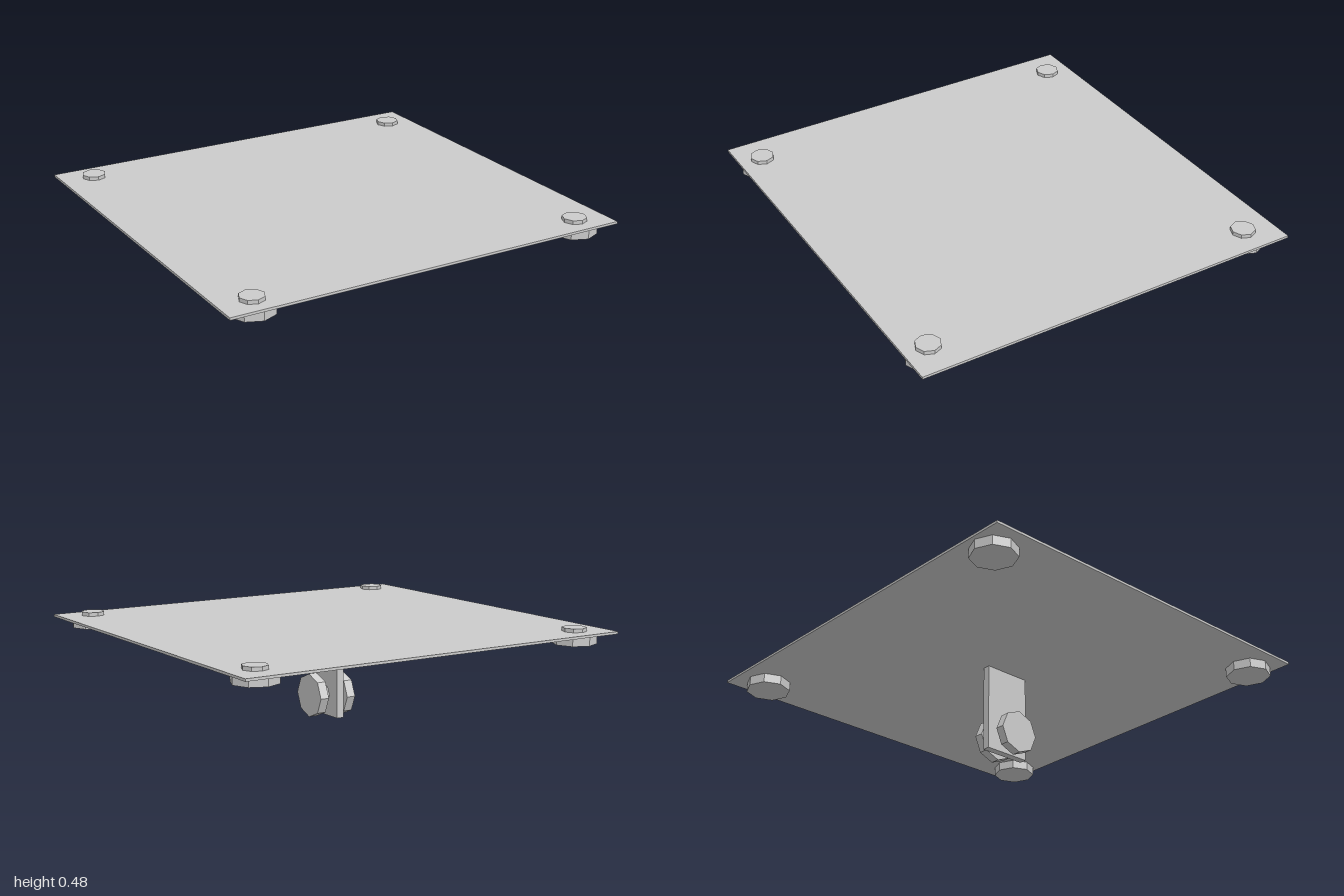
import * as THREE from 'three';

const grey = new THREE.MeshStandardMaterial({ color: 0xcccccc, flatShading: true });

function part(name, geometry, x, y, z, parent) {
  const mesh = new THREE.Mesh(geometry, grey);
  mesh.name = name;
  mesh.position.set(x, y, z);
  parent.add(mesh);
  return mesh;
}

// Eight-sided disc between two heights
function disc(radius, height) {
  return new THREE.CylinderGeometry(radius, radius, height, 8);
}

export function createModel() {
  const model = new THREE.Group();

  // Thin top plate whose underside sags slightly towards the middle
  const plate = new THREE.BoxGeometry(2, 0.012, 1.9, 6, 1, 6);
  const p = plate.attributes.position;
  for (let i = 0; i < p.count; i++) {
    if (p.getY(i) > 0) continue;
    const edge = Math.max(Math.abs(p.getX(i)), Math.abs(p.getZ(i)) / 0.95);
    p.setY(i, p.getY(i) - 0.006 * (1 - edge));
  }
  plate.computeVertexNormals();
  part('topPlate', plate, 0, 0.456, 0, model);

  // Corner bolts: small head above, wide foot below
  const corners = [[-0.84, 0.835], [0.84, 0.835], [-0.84, -0.825], [0.865, -0.795]];
  for (const [x, z] of corners) {
    const bolt = new THREE.Group();
    bolt.name = 'cornerBolt';
    bolt.position.set(x, 0, z);
    model.add(bolt);
    part('boltHead', disc(0.058, 0.03), 0, 0.465, 0, bolt);
    part('boltFoot', disc(0.107, 0.046), 0, 0.428, 0, bolt);
  }

  // Hanging bracket
  part('bracket', new THREE.BoxGeometry(0.037, 0.437, 0.24), -0.001, 0.2335, 0, model);

  // Side knobs, each on a short hub
  for (const [side, y] of [[-1, 0.107], [1, 0.114]]) {
    const knob = new THREE.Group();
    knob.name = side > 0 ? 'leftKnob' : 'rightKnob';
    knob.position.set(side > 0 ? -0.003 : 0, y, 0.005);
    model.add(knob);
    part('hub', disc(0.058, 0.06), side * 0.035, 0, 0, knob).rotation.z = Math.PI / 2;
    part('knobDisc', disc(0.106, 0.045), side * 0.077, 0, 0, knob).rotation.z = Math.PI / 2;
  }
  return model;
}
